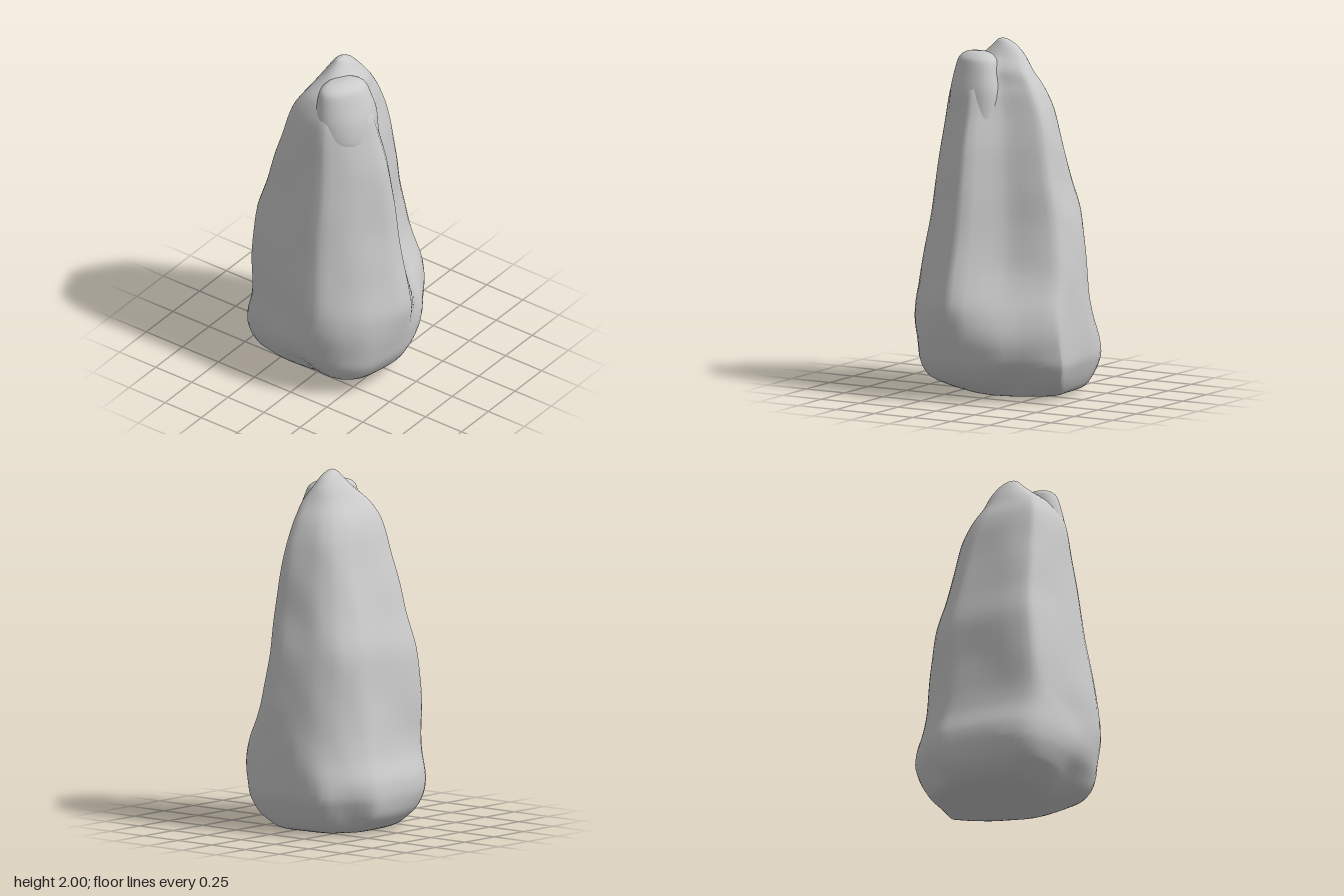
import * as THREE from 'three';

const SIDES = 54, STEPS = 4;
const { smoothstep } = THREE.MathUtils;

// Closed outlines, normalised to +-1 in x and z, running from +x toward +z
const outline = points => new THREE.CatmullRomCurve3(
  points.map(([x, z]) => new THREE.Vector3(x, 0, z)), true, 'catmullrom', 0.4);

const FOOT = outline([
  [1, 0.06], [0.96, 0.38], [0.82, 0.67], [0.54, 0.88], [0.2, 1], [-0.2, 0.96], [-0.66, 0.84],
  [-0.85, 0.67], [-0.95, 0.36], [-1, -0.2], [-0.98, -0.4], [-0.84, -0.65], [-0.62, -0.88],
  [-0.3, -0.97], [0.36, -1], [0.47, -0.94], [0.7, -0.63], [0.88, -0.35],
]);
// Higher up, one side is split away into a shallow recess
const SHAFT = outline([
  [1, 0.1], [0.86, 0.42], [0.66, 0.69], [0.47, 0.86], [0.22, 1], [-0.32, 0.93], [-0.81, 0.82],
  [-0.95, 0.71], [-1, 0.35], [-0.98, -0.2], [-0.95, -0.44], [-0.81, -0.69], [-0.57, -0.86],
  [-0.27, -0.95], [0.03, -1], [0.25, -0.93], [0.4, -0.64], [0.56, -0.3],
]);

// Rows are [height, x min, x max, z min, z max]
const BODY = [
  [0.03, -0.05, -0.04, 0, 0.01],
  [0, -0.3, 0.12, -0.25, 0.2],
  [0.025, -0.4, 0.22, -0.39, 0.29],
  [0.1, -0.47, 0.37, -0.45, 0.4],
  [0.2, -0.5, 0.44, -0.48, 0.455],
  [0.3, -0.495, 0.465, -0.475, 0.475],
  [0.42, -0.455, 0.487, -0.468, 0.485],
  [0.55, -0.43, 0.5, -0.46, 0.478],
  [0.75, -0.41, 0.465, -0.445, 0.455],
  [1.0, -0.395, 0.415, -0.41, 0.42],
  [1.2, -0.34, 0.385, -0.37, 0.387],
  [1.4, -0.29, 0.345, -0.33, 0.362],
  [1.6, -0.24, 0.29, -0.28, 0.338],
  [1.72, -0.195, 0.255, -0.23, 0.308],
  [1.82, -0.135, 0.185, -0.17, 0.25],
  [1.9, -0.092, 0.09, -0.12, 0.15],
  [1.96, -0.055, 0.045, -0.065, 0.085],
  [1.99, -0.028, 0.022, -0.015, 0.055],
  [2.0, -0.004, 0.002, 0.02, 0.026],
];
const SHOULDER = [
  [1.35, 0.02, 0.2, 0.02, 0.2],
  [1.5, -0.04, 0.26, -0.04, 0.28],
  [1.6, -0.03, 0.265, -0.04, 0.31],
  [1.72, -0.025, 0.25, -0.04, 0.302],
  [1.82, -0.02, 0.218, -0.02, 0.28],
  [1.89, -0.01, 0.188, 0, 0.257],
  [1.92, 0.02, 0.14, 0.05, 0.21],
  [1.93, 0.085, 0.09, 0.125, 0.13],
];

// Hollows and bulges: [x, y, z, radius, inward depth]
const DENTS = [
  [0, 0.1, 0.42, 0.12, 0.06], [-0.08, 0.45, 0.46, 0.12, 0.02], [0.25, 0.1, 0.32, 0.16, -0.035],
  [0.3, 0.07, -0.25, 0.13, 0.06], [-0.1, 0.1, -0.44, 0.16, 0.03], [-0.4, 0.1, -0.3, 0.12, 0.03],
  [0.05, 1.2, -0.38, 0.2, 0.01], [-0.3, 1.55, 0.25, 0.14, 0.015],
];

// Roughens a point by moving it toward or away from the vertical axis
function weather(p) {
  const r = Math.hypot(p.x, p.z) || 1;
  let inward = 0.005 * Math.sin(9 * p.x + 4 * p.y + 1) * Math.sin(8 * p.z - 5 * p.y)
    + 0.004 * Math.sin(17 * p.x - 6 * p.y) * Math.cos(15 * p.z + 7 * p.y);
  for (const [x, y, z, radius, depth] of DENTS) {
    const d2 = (p.x - x) ** 2 + (p.y - y) ** 2 + (p.z - z) ** 2;
    inward += depth * Math.exp(-d2 / (radius * radius));
  }
  const k = 1 - inward * Math.min(1, r * 4) / Math.max(r, 0.05);
  return [p.x * k, Math.max(0, p.y), p.z * k];
}

// Smooth closed loft through rows of extents; section(t, y) gives the normalised outline
function loft(name, rows, section) {
  const curve = (a, b) => new THREE.CatmullRomCurve3(
    rows.map(r => new THREE.Vector3(r[0], r[a], r[b])), false, 'catmullrom', 0.4);
  const xs = curve(1, 2), zs = curve(3, 4);
  const rings = (rows.length - 1) * STEPS;
  const positions = [], index = [];
  for (let i = 0; i <= rings; i++) {
    const a = xs.getPoint(i / rings), b = zs.getPoint(i / rings);
    for (let j = 0; j < SIDES; j++) {
      const o = section(j / SIDES, a.x);
      positions.push(...weather({
        x: (a.y + a.z) / 2 + o.x * (a.z - a.y) / 2,
        y: a.x,
        z: (b.y + b.z) / 2 + o.z * (b.z - b.y) / 2,
      }));
      if (i === rings) continue;
      const p = i * SIDES + j, q = i * SIDES + (j + 1) % SIDES;
      index.push(p, p + SIDES, q, q, p + SIDES, q + SIDES);
    }
  }
  // Close both ends
  const top = rings * SIDES;
  for (let j = 1; j < SIDES - 1; j++) {
    index.push(0, j, j + 1, top, top + j + 1, top + j);
  }
  const geometry = new THREE.BufferGeometry();
  geometry.setAttribute('position', new THREE.Float32BufferAttribute(positions, 3));
  geometry.setIndex(index);
  geometry.computeVertexNormals();
  const mesh = new THREE.Mesh(geometry, new THREE.MeshStandardMaterial({ color: 0xcccccc }));
  mesh.name = name;
  return mesh;
}

// Oval section; skew slants its long axis
const oval = (t, skew) => new THREE.Vector3(
  Math.cos(t * 2 * Math.PI), 0, Math.sin(t * 2 * Math.PI - skew));

export function createModel() {
  const rock = new THREE.Group();
  rock.name = 'standingRock';
  // The foot outline blends into the split shaft, which rounds off at the peak
  rock.add(loft('mainBody', BODY, (t, y) => FOOT.getPoint(t)
    .lerp(SHAFT.getPoint(t), smoothstep(y, 0.3, 0.78))
    .lerp(oval(t, 0), smoothstep(y, 1.75, 1.95))));
  // Split-off shoulder leaning against the peak
  rock.add(loft('frontShoulder', SHOULDER, t => oval(t, 0.3)));
  return rock;
}
